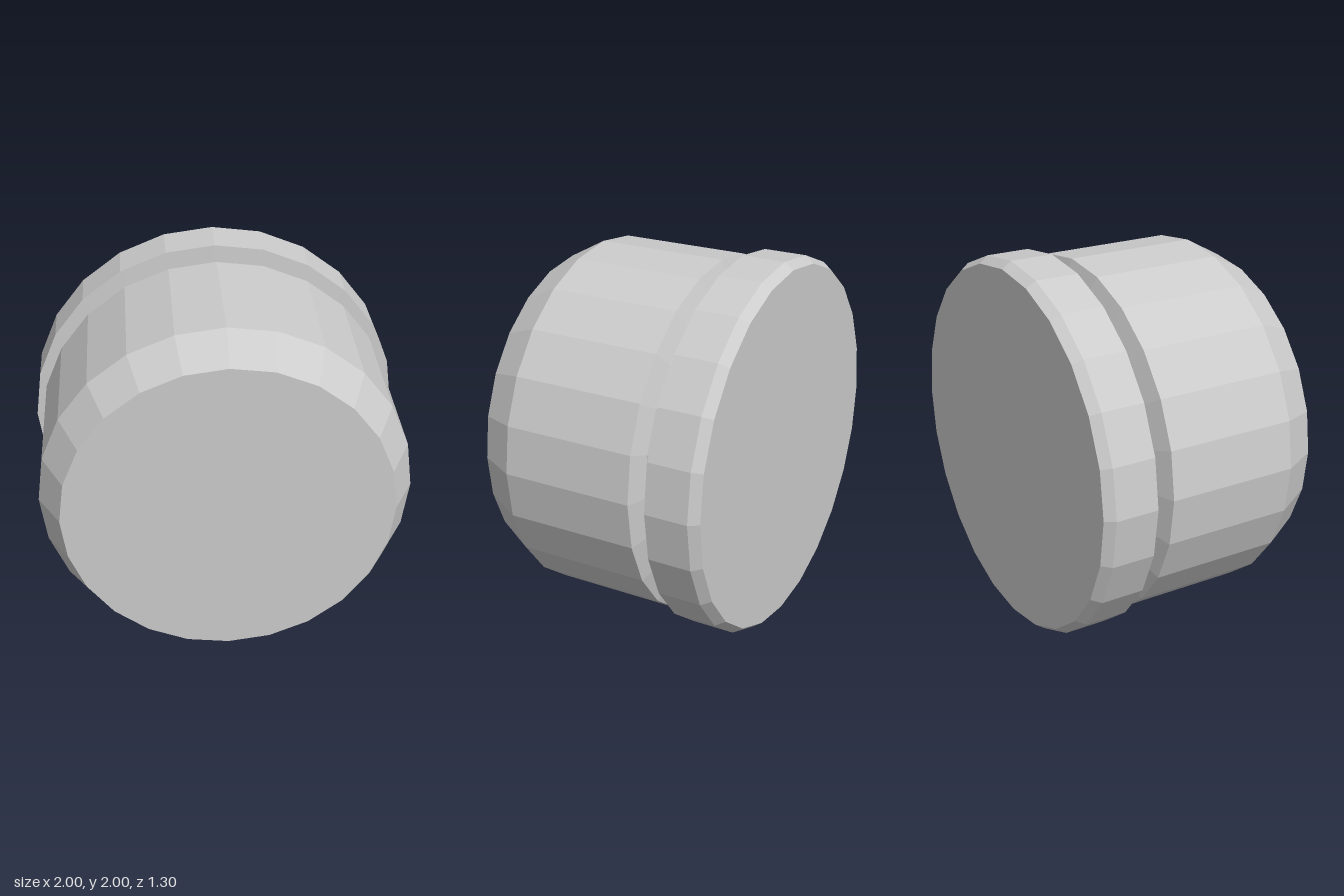
import * as THREE from 'three';

const SIDES = 24;

// Faceted ring section turned about the z axis; profile is [radius, z] from back to front
function turned(name, profile, material) {
  const points = profile.map(([r, z]) => new THREE.Vector2(r, z));
  const geometry = new THREE.LatheGeometry(points, SIDES);
  geometry.rotateX(Math.PI / 2);
  const mesh = new THREE.Mesh(geometry, material);
  mesh.name = name;
  mesh.position.y = 1;
  return mesh;
}

export function createModel() {
  const group = new THREE.Group();
  group.name = 'plug';
  const material = new THREE.MeshStandardMaterial({ color: 0xcccccc, flatShading: true });

  // Wide flange at the back, with a small bevel round its outer edge
  group.add(turned('backFlange', [[0, -0.65], [0.965, -0.65], [1, -0.6], [1, -0.37], [0.86, -0.362]], material));

  // Narrow neck between flange and body
  group.add(turned('neckGroove', [[0.86, -0.362], [0.86, -0.292]], material));

  // Main drum with a sloped shoulder behind and a broad bevel in front
  group.add(turned('drumBody', [[0.86, -0.292], [0.96, -0.255], [0.96, 0.45], [0.85, 0.65], [0, 0.65]], material));

  return group;
}
